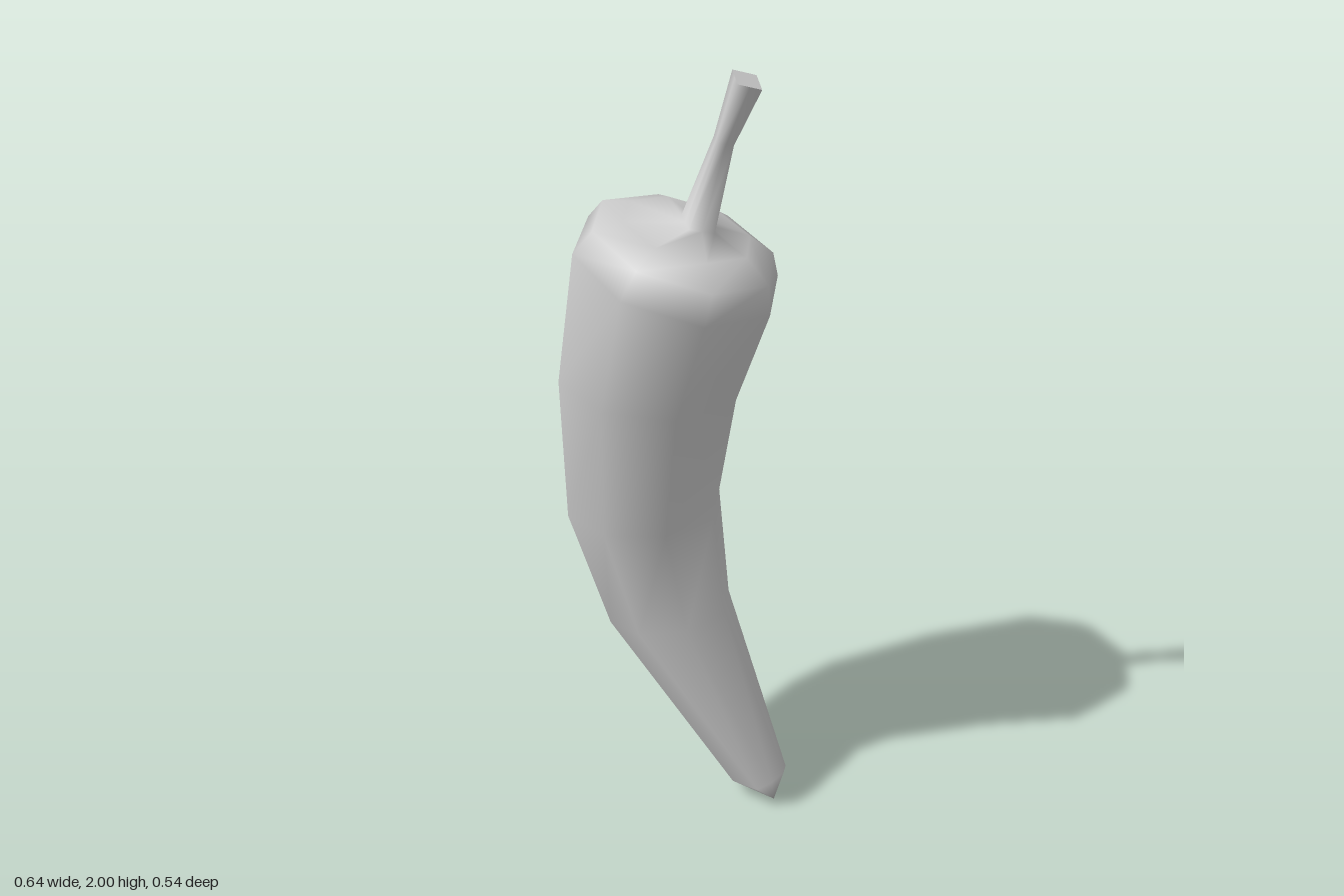
import * as THREE from 'three';
import { mergeVertices } from 'three/addons/utils/BufferGeometryUtils.js';

const SIDES = 8;

// Cross-sections from the tip upward: left edge x, y; right edge x, y; half depth; optional side point x, y
const BODY = [
  [0.29, 0.005, 0.29, 0.005, 0],
  [0.15, 0.05, 0.317, 0.105, 0.06, 0.268, 0.068],
  [-0.2, 0.5, 0.13, 0.56, 0.165],
  [-0.317, 0.815, 0.095, 0.84, 0.205],
  [-0.322, 1.22, 0.15, 1.175, 0.245],
  [-0.262, 1.59, 0.24, 1.425, 0.272],
  [-0.22, 1.638, 0.235, 1.5, 0.225],
  [-0.145, 1.648, 0.175, 1.56, 0.155],
];
// Stem sections are diamonds
const STEM = [
  [0, 1.637, 0.09, 1.605, 0.045],
  [0.085, 1.842, 0.137, 1.825, 0.027],
  [0.13, 2, 0.206, 1.963, 0.047],
];

// Points around one section; a diamond keeps its diagonal points on the straight edges
function ringPoints([lx, ly, rx, ry, depth, mx = (lx + rx) / 2, my = (ly + ry) / 2], diamond) {
  const points = [];
  for (let j = 0; j < SIDES; j++) {
    const angle = (j / SIDES) * Math.PI * 2;
    const scale = diamond && j % 2 ? Math.SQRT1_2 : 1;
    const c = Math.cos(angle) * scale;
    const s = Math.sin(angle) * scale;
    const [ex, ey] = c > 0 ? [rx, ry] : [lx, ly];
    const t = Math.abs(c);
    points.push(new THREE.Vector3(mx + (ex - mx) * t, my + (ey - my) * t, depth * s));
  }
  return points;
}

// Skin the rings as one smooth surface
function loft(rings) {
  const index = [];
  for (let i = 0; i < rings.length - 1; i++) {
    for (let j = 0; j < SIDES; j++) {
      const k = (j + 1) % SIDES;
      const a = i * SIDES + j, b = i * SIDES + k;
      index.push(a, a + SIDES, b, b, a + SIDES, b + SIDES);
    }
  }
  const geometry = new THREE.BufferGeometry().setFromPoints(rings.flat());
  geometry.setIndex(index);
  const merged = mergeVertices(geometry, 1e-5);
  merged.computeVertexNormals();
  return merged;
}

export function createModel() {
  const group = new THREE.Group();
  group.name = 'chiliPepper';
  const material = new THREE.MeshStandardMaterial({ color: 0xcccccc });
  const add = (geometry, name) => {
    const mesh = new THREE.Mesh(geometry, material);
    mesh.name = name;
    group.add(mesh);
  };

  const rings = [
    ...BODY.map((s) => ringPoints(s, false)),
    ...STEM.map((s) => ringPoints(s, true)),
  ];
  const skin = loft(rings);

  // Body and stem share the skin's normals, so their join stays smooth
  const all = Array.from(skin.index.array);
  const split = BODY.length * SIDES * 6;
  const part = (index) => {
    const geometry = skin.clone();
    geometry.setIndex(index);
    return geometry;
  };
  add(part(all.slice(0, split)), 'body');
  add(part(all.slice(split)), 'stem');

  // Flat cut end of the stem
  const corners = rings[rings.length - 1].filter((_, j) => j % 2 === 0);
  const cap = new THREE.BufferGeometry().setFromPoints(corners);
  cap.setIndex([0, 2, 1, 0, 3, 2]);
  cap.computeVertexNormals();
  add(cap, 'stemEnd');

  return group;
}
